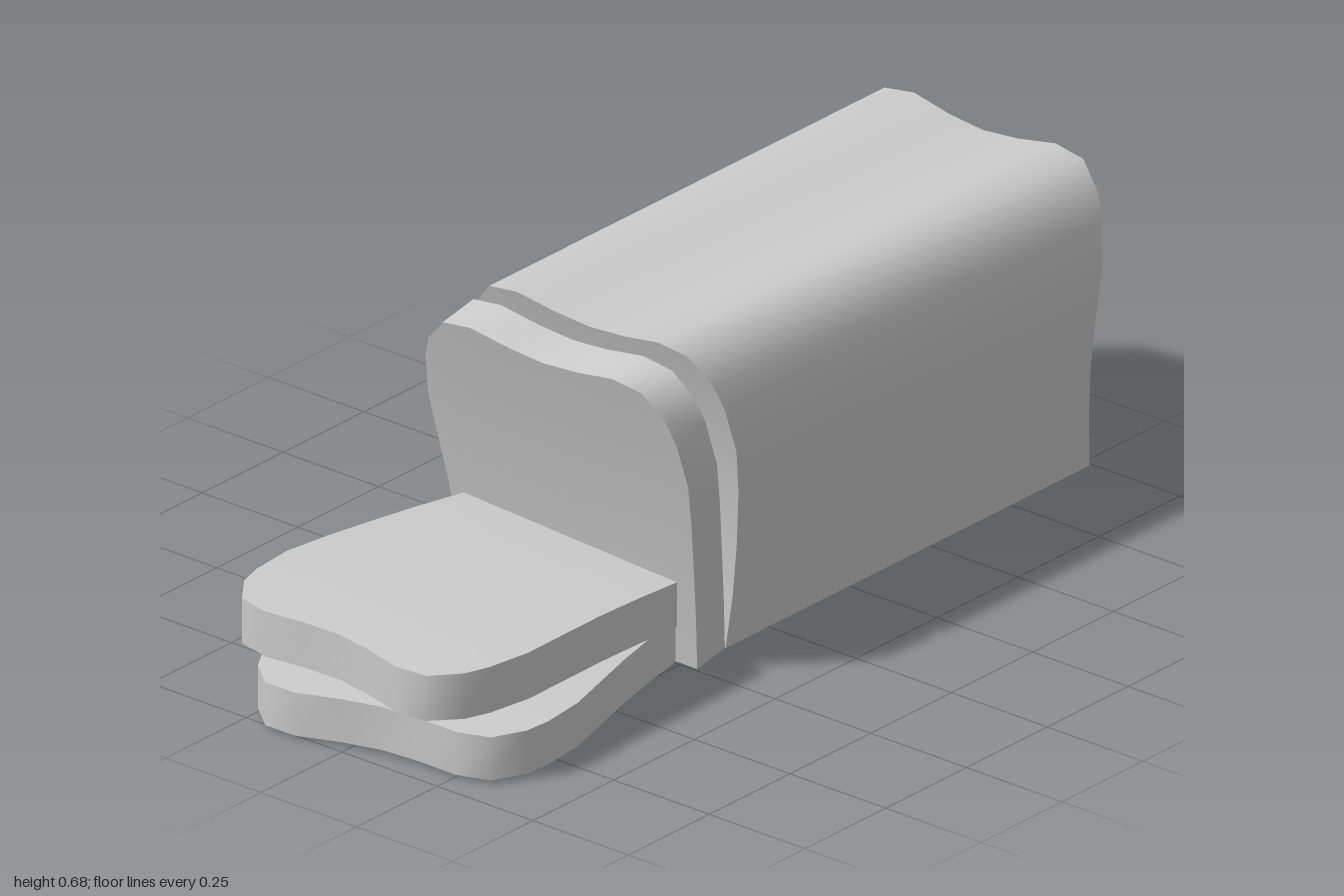
import * as THREE from 'three';
import { toCreasedNormals } from 'three/addons/utils/BufferGeometryUtils.js';

const H = 0.68; // crust height
const material = new THREE.MeshStandardMaterial({ color: 0xcccccc });

// Right half of the bread outline, bottom corner up to the dip in the top
const half = [
  [0.3, 0], [0.31, 0.12], [0.32, 0.24], [0.332, 0.36], [0.34, 0.46], [0.328, 0.56],
  [0.31, 0.612], [0.26, 0.669], [0.185, 0.68], [0.09, 0.663],
];
const outline = [
  [0, 0], [0.15, 0], ...half, [0, 0.655],
  ...half.map(([x, y]) => [-x, y]).reverse(), [-0.15, 0],
];

// Quadratic bow of a cut face along the height of the bread
const bow = (a, m, b) => (y) => {
  const v = y / H;
  return (1 - v) ** 2 * a + 2 * v * (1 - v) * m + v * v * b;
};

// Solid between two bowed cut faces: rings from back centre, over the crust, to front centre
function breadGeometry(back, front) {
  const scales = [0, 0.25, 0.5, 0.75, 1];
  const rings = [
    ...scales.map((s) => [s, back]),
    ...scales.slice().reverse().map((s) => [s, front]),
  ];
  const n = outline.length;
  const pos = [];
  const idx = [];
  for (const [s, face] of rings) {
    for (const [ox, oy] of outline) {
      const y = 0.3 + (oy - 0.3) * s;
      pos.push(ox * s, y, face(y));
    }
  }
  for (let j = 0; j < rings.length - 1; j++) {
    for (let i = 0; i < n; i++) {
      const k = (i + 1) % n;
      const a = j * n + i, b = j * n + k, c = b + n, d = a + n;
      if (rings[j][0] > 0) idx.push(a, b, c);
      if (rings[j + 1][0] > 0) idx.push(a, c, d);
      else if (rings[j][0] === 0) continue;
    }
  }
  // The first ring is a point, so each of its quads keeps only the outer triangle
  const g = new THREE.BufferGeometry();
  g.setAttribute('position', new THREE.Float32BufferAttribute(pos, 3));
  g.setIndex(idx);
  return toCreasedNormals(g, 0.8);
}

function bread(name, back, front) {
  const mesh = new THREE.Mesh(breadGeometry(back, front), material);
  mesh.name = name;
  return mesh;
}

// Slice lying on its cut face, crust top pointing forwards
function flatSlice(name, top, bottom, x, z, turn) {
  const mesh = bread(name, (y) => -top(y), (y) => -bottom(y));
  mesh.rotation.set(Math.PI / 2, turn, 0, 'YXZ');
  mesh.position.set(x, 0, z);
  return mesh;
}

export function createModel() {
  const group = new THREE.Group();
  group.name = 'slicedBread';

  // Uncut loaf
  const loaf = bread('loaf', bow(-0.97, -0.918, -1), bow(0.156, 0.111, 0.228));
  loaf.position.set(-0.01, 0.015, 0);
  loaf.scale.y = 0.978;

  // Slice leaning forwards off the loaf
  const leaning = bread('leaningSlice', bow(0, -0.02, 0), bow(0.087, 0.067, 0.096));
  leaning.position.set(-0.01, 0.016, 0.158);
  leaning.rotation.x = 0.18;
  leaning.scale.y = 0.975;

  // Two fallen slices, stacked at different angles
  const lower = flatSlice('lowerSlice', bow(0.103, 0.128, 0.103), bow(0.008, 0.032, 0.008), -0.05, 0.312, 0.18);
  const upper = flatSlice('upperSlice', bow(0.228, 0.252, 0.23), bow(0.13, 0.146, 0.131), 0.01, 0.305, -0.08);

  group.add(loaf, leaning, lower, upper);
  return group;
}
